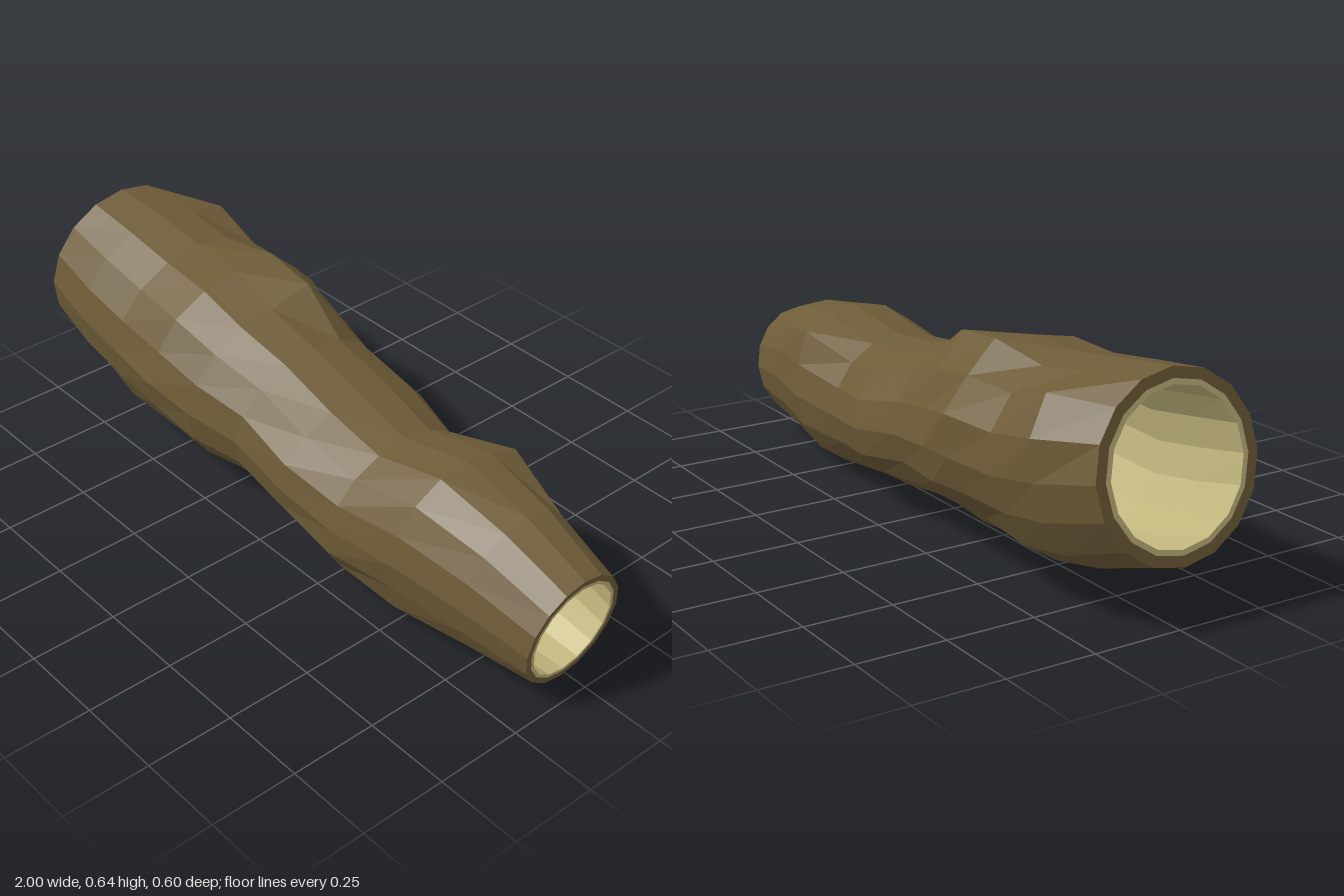
import * as THREE from 'three';

const SIDES = 16;
const TILT = 0.145; // the cut ends lean: upper points sit further along +x

// Cross-sections along the log: x, bottom, top, back z, front z
const STATIONS = [
  [-0.965, 0.16, 0.64, -0.235, 0.25],
  [-0.79, 0.105, 0.62, -0.285, 0.27],
  [-0.62, 0.07, 0.597, -0.295, 0.275],
  [-0.43, 0.063, 0.595, -0.3, 0.298],
  [-0.26, 0.053, 0.555, -0.265, 0.285],
  [-0.09, 0.073, 0.505, -0.255, 0.255],
  [0.11, 0.05, 0.455, -0.262, 0.268],
  [0.31, 0.02, 0.43, -0.21, 0.26],
  [0.525, 0.001, 0.468, -0.222, 0.245],
  [0.76, 0.01, 0.437, -0.16, 0.222],
  [0.975, 0.03, 0.37, -0.12, 0.2],
];

// Knots and dents in the bark: station, side (0 front, 4 top, 8 back), amount
const KNOTS = [
  [1, 6, 0.14], [1, 7, 0.09], [1, 10, 0.03],
  [2, 6, 0.02], [2, 7, 0.04], [2, 9, -0.04], [2, 14, 0.06],
  [3, 1, -0.03], [3, 5, 0.12], [3, 6, 0.03], [3, 7, 0.08], [3, 9, -0.05], [3, 10, -0.07], [3, 11, -0.04], [3, 15, -0.03],
  [4, 5, 0.22], [4, 6, 0.08], [4, 10, -0.06],
  [5, 9, -0.03],
  [6, 1, 0.03], [6, 10, -0.05], [6, 14, 0.04],
  [7, 14, 0.09], [7, 15, 0.06],
  [8, 2, 0.04], [8, 3, 0.04], [8, 6, 0.11], [8, 14, 0.12],
  [9, 5, 0.03], [9, 14, 0.04],
];

// One ring of points, shrunk by scale, with or without knots
function ring(index, scale, knotted) {
  const [x, bottom, top, back, front] = STATIONS[index];
  const points = [];
  for (let j = 0; j < SIDES; j++) {
    const a = (j / SIDES) * Math.PI * 2;
    const knot = knotted && KNOTS.find((k) => k[0] === index && k[1] === j);
    const r = scale * (1 + (knot ? knot[2] : 0));
    const dy = Math.sin(a) * r * (top - bottom) / 2;
    const dz = Math.cos(a) * r * (front - back) / 2;
    points.push(new THREE.Vector3(x + dy * TILT, (top + bottom) / 2 + dy, (front + back) / 2 + dz));
  }
  return points;
}

// Flat-shaded skin stretched over a sequence of rings
function skin(name, rings, material) {
  const positions = [];
  for (let i = 0; i < rings.length - 1; i++) {
    for (let j = 0; j < SIDES; j++) {
      const k = (j + 1) % SIDES;
      const a = rings[i][j], b = rings[i + 1][j], c = rings[i + 1][k], d = rings[i][k];
      for (const p of [a, b, c, a, c, d]) positions.push(p.x, p.y, p.z);
    }
  }
  const geometry = new THREE.BufferGeometry();
  geometry.setAttribute('position', new THREE.Float32BufferAttribute(positions, 3));
  geometry.computeVertexNormals();
  const mesh = new THREE.Mesh(geometry, material);
  mesh.name = name;
  return mesh;
}

export function createModel() {
  const bark = new THREE.MeshStandardMaterial({ color: 0x6e5c38 });
  bark.name = 'bark';
  const wood = new THREE.MeshStandardMaterial({ color: 0xc0b47c });
  wood.name = 'paleWood';

  const last = STATIONS.length - 1;
  const leftRim = ring(0, 0.88, false);
  const rightRim = ring(last, 0.9, false);

  // Bark wraps over both cut ends
  const outer = STATIONS.map((s, i) => ring(i, 1, true));
  // Hollow runs back through the log, walls a little thicker at the wide end
  const inner = STATIONS.map((s, i) => ring(i, 0.82 + 0.02 * i / last, false)).reverse();

  const log = new THREE.Group();
  log.name = 'hollowLog';
  log.add(skin('barkShell', [leftRim, ...outer, rightRim], bark));
  log.add(skin('hollowCore', [rightRim, ...inner, leftRim], wood));
  return log;
}
